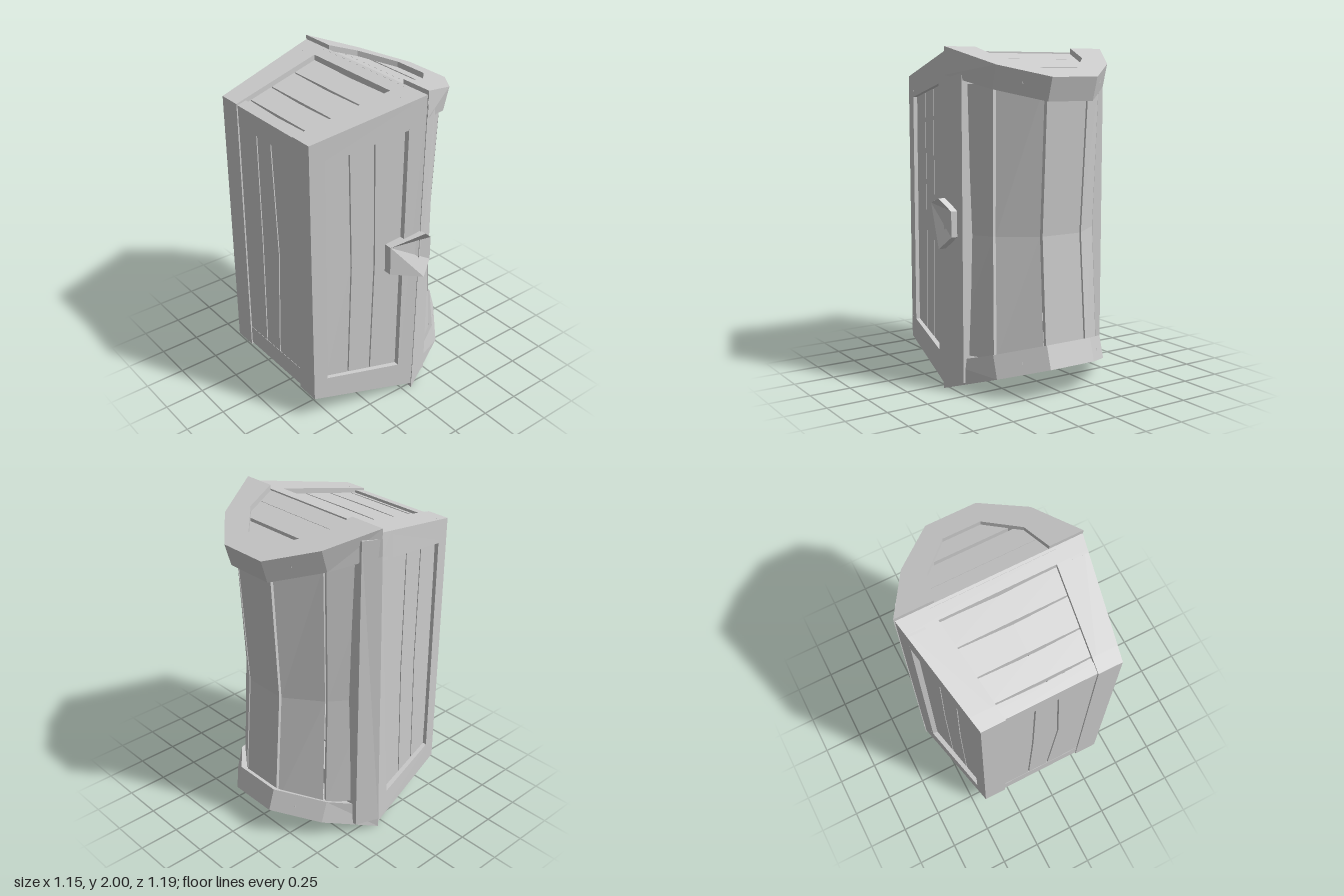
import * as THREE from 'three';

const mat = new THREE.MeshStandardMaterial({ color: 0xcccccc, flatShading: true, side: THREE.DoubleSide });
const lerp = THREE.MathUtils.lerp;
const V = (x, y, z) => new THREE.Vector3(x, y, z);

// Solid skinned over a row of equal-length loops, with capped ends
function loft(name, loops) {
  const tris = [];
  const n = loops[0].length;
  for (let i = 0; i < loops.length - 1; i++) {
    for (let j = 0; j < n; j++) {
      const k = (j + 1) % n, a = loops[i], b = loops[i + 1];
      tris.push([a[j], a[k], b[k]], [a[j], b[k], b[j]]);
    }
  }
  const first = loops[0], last = loops[loops.length - 1];
  for (let j = 1; j < n - 1; j++) {
    tris.push([first[0], first[j + 1], first[j]], [last[0], last[j], last[j + 1]]);
  }
  // turn the faces outward when the enclosed volume is negative
  let volume = 0;
  const c = first[0], d = V();
  for (const [p, q, r] of tris) {
    volume += p.clone().sub(c).dot(d.crossVectors(q.clone().sub(c), r.clone().sub(c)));
  }
  const pts = tris.flatMap(([p, q, r]) => (volume < 0 ? [p, r, q] : [p, q, r]));
  const geo = new THREE.BufferGeometry().setFromPoints(pts);
  geo.computeVertexNormals();
  const mesh = new THREE.Mesh(geo, mat);
  mesh.name = name;
  return mesh;
}

const rimZ = (y) => -0.055 - 0.0215 * y;

// Point in the tapered body: u across, v along the height, t from base (0) to rim (1)
function bodyPoint(u, v, t) {
  const y = lerp(0.9925, 1.0025, t) + v * lerp(0.8375, 0.9725, t);
  const x = lerp(-0.015, -0.02, t) + u * lerp(0.415, 0.55, t);
  return V(x, y, lerp(0.595, rimZ(y), t));
}

function beam(name, [u0, u1], [v0, v1], [t0, t1]) {
  return loft(name, [v0, v1].map((v) => [
    bodyPoint(u0, v, t0), bodyPoint(u1, v, t0), bodyPoint(u1, v, t1), bodyPoint(u0, v, t1),
  ]));
}

function buildBody() {
  const body = new THREE.Group();
  body.name = 'body';
  for (const s of [-1, 1]) {
    // frame
    body.add(beam('cornerPost', [s * 0.65, s], [-1, 1], [0, 0.13]));
    body.add(beam('sideRimRail', [s * 0.8, s], [-1, 1], [0.85, 1]));
    body.add(beam('endRimRail', [-1, 1], [s * 0.85, s], [0.87, 1]));
    body.add(beam('baseStrip', [-0.66, 0.66], [s * 0.84, s * 0.985], [0.012, 0.1]));
    for (const e of [-1, 1]) body.add(beam('endPost', [s * 0.65, s], [e * 0.83, e], [0, 1]));

    // side planks, narrower or wider at mid length
    const ends = [0.13, 0.36, 0.58, 0.86], mids = [0.11, 0.385, 0.605, 0.88];
    for (let i = 0; i < 3; i++) {
      const row = (edges, v) => {
        const a = edges[i] + 0.006, b = edges[i + 1] - 0.006;
        return [bodyPoint(s * 0.94, v, a), bodyPoint(s * 0.94, v, b),
          bodyPoint(s * 0.86, v, b), bodyPoint(s * 0.86, v, a)];
      };
      body.add(loft('sidePlank', [row(ends, -0.87), row(mids, 0), row(ends, 0.87)]));
    }

    // end planks
    const cuts = [0.015, 0.15, 0.38, 0.64, 0.88];
    for (let i = 0; i < 4; i++) {
      const row = (u, bow) => {
        const a = cuts[i] + 0.005, b = cuts[i + 1] - 0.005 - bow;
        return [bodyPoint(u, s * 0.965, a), bodyPoint(u, s * 0.965, b),
          bodyPoint(u, s * 0.91, b), bodyPoint(u, s * 0.91, a)];
      };
      body.add(loft('endPlank', [row(-0.72, 0), row(0, 0.014), row(0.72, 0)]));
    }
  }

  // base planks
  const ends = [-0.68, -0.22, 0.11, 0.68], mids = [-0.68, -0.2, 0.2, 0.68];
  for (let i = 0; i < 3; i++) {
    const row = (edges, v) => {
      const a = edges[i] + 0.012, b = edges[i + 1] - 0.012;
      return [bodyPoint(a, v, 0.015), bodyPoint(b, v, 0.015), bodyPoint(b, v, 0.08), bodyPoint(a, v, 0.08)];
    };
    body.add(loft('basePlank', [row(ends, -0.86), row(mids, 0.03), row(ends, 0.86)]));
  }
  return body;
}

// Height of the sloping lid ends at depth z (s = 1 top, -1 bottom)
const lidEnd = (s, z) => (s > 0 ? 2 + (z + 0.1) * 0.345 : (-0.055 - z) * 0.337);

function buildLid() {
  const lid = new THREE.Group();
  lid.name = 'lid';
  const outer = [[0.535, -0.1], [0.38, -0.4], [0.14, -0.593], [-0.17, -0.593], [-0.41, -0.38], [-0.575, -0.1]];
  const inner = [[0.33, -0.1], [0.28, -0.29], [0.1, -0.455], [-0.13, -0.455], [-0.3, -0.28], [-0.345, -0.1]];
  const panel = [[0.5, -0.1], [0.36, -0.35], [0.13, -0.522], [-0.16, -0.522], [-0.385, -0.335], [-0.54, -0.1]];

  for (const s of [-1, 1]) {
    // arched end frame
    const sections = outer.map(([x, z], i) => {
      const rim = i === 0 || i === 5;
      const zz = rim && s < 0 ? -0.055 : z;
      const [xi, zi0] = inner[i];
      const zi = rim && s < 0 ? -0.055 : zi0;
      const y = lidEnd(s, zz), yi = lidEnd(s, zi);
      return [V(x, y, zz), V(xi, yi, zi), V(xi, yi - s * 0.13, zi),
        V(x, y - s * (rim ? 0.16 : 0.135), zz + (rim ? 0 : 0.04))];
    });
    lid.add(loft('endArch', sections));

    // recessed end planks filling the arch
    const cuts = [[-0.08, -0.195, 0.37], [-0.197, -0.33, 0.36], [-0.35, -0.48, 0.27]];
    for (const [z0, z1, w] of cuts) {
      const row = (x) => [V(x, lidEnd(s, z0) - s * 0.035, z0), V(x, lidEnd(s, z1) - s * 0.035, z1),
        V(x, lidEnd(s, z1) - s * 0.075, z1), V(x, lidEnd(s, z0) - s * 0.075, z0)];
      lid.add(loft('lidEndPlank', [row(-w - 0.01), row(w - 0.01)]));
    }

    // rim rail along each long side
    const k = s > 0 ? 0 : 5;
    const [x0] = outer[k];
    const rail = (y) => [V(x0, y, rimZ(y)), V(x0 - s * 0.052, y, -0.2),
      V(x0 - s * 0.13, y, -0.2), V(x0 - s * 0.1, y, rimZ(y))];
    lid.add(loft('lidRimRail', [rail(0.06), rail(1.94)]));
  }

  // one long plank per facet, sagging inward at mid length
  for (let i = 0; i < 5; i++) {
    const [ax, az] = panel[i], [bx, bz] = panel[i + 1];
    const row = (y, kx, kz) => {
      const at = (f, depth) => {
        const x = lerp(ax, bx, f), z = lerp(az, bz, f);
        return V((x + 0.02) * kx * depth - 0.02, y, -0.1 + (z + 0.1) * kz * depth);
      };
      return [at(0.03, 1), at(0.97, 1), at(0.97, 0.9), at(0.03, 0.9)];
    };
    lid.add(loft('lidPlank', [row(0.22, 1, 1), row(0.93, 0.96, 0.88), row(1.79, 1, 1)]));
  }
  return lid;
}

function buildLatch() {
  // z, y, inner x, outer x
  const plate = [
    [0.12, 1.09, 0.455, 0.51], [-0.085, 1.14, 0.5, 0.575], [-0.163, 1.07, 0.47, 0.535],
    [-0.163, 0.92, 0.47, 0.535], [-0.085, 0.845, 0.5, 0.575], [0.12, 0.91, 0.455, 0.51],
  ];
  return loft('latch', [plate.map(([z, y, a]) => V(a, y, z)), plate.map(([z, y, , b]) => V(b, y, z))]);
}

export function createModel() {
  const model = new THREE.Group();
  model.name = 'chest';
  model.add(buildBody(), buildLid(), buildLatch());
  return model;
}
